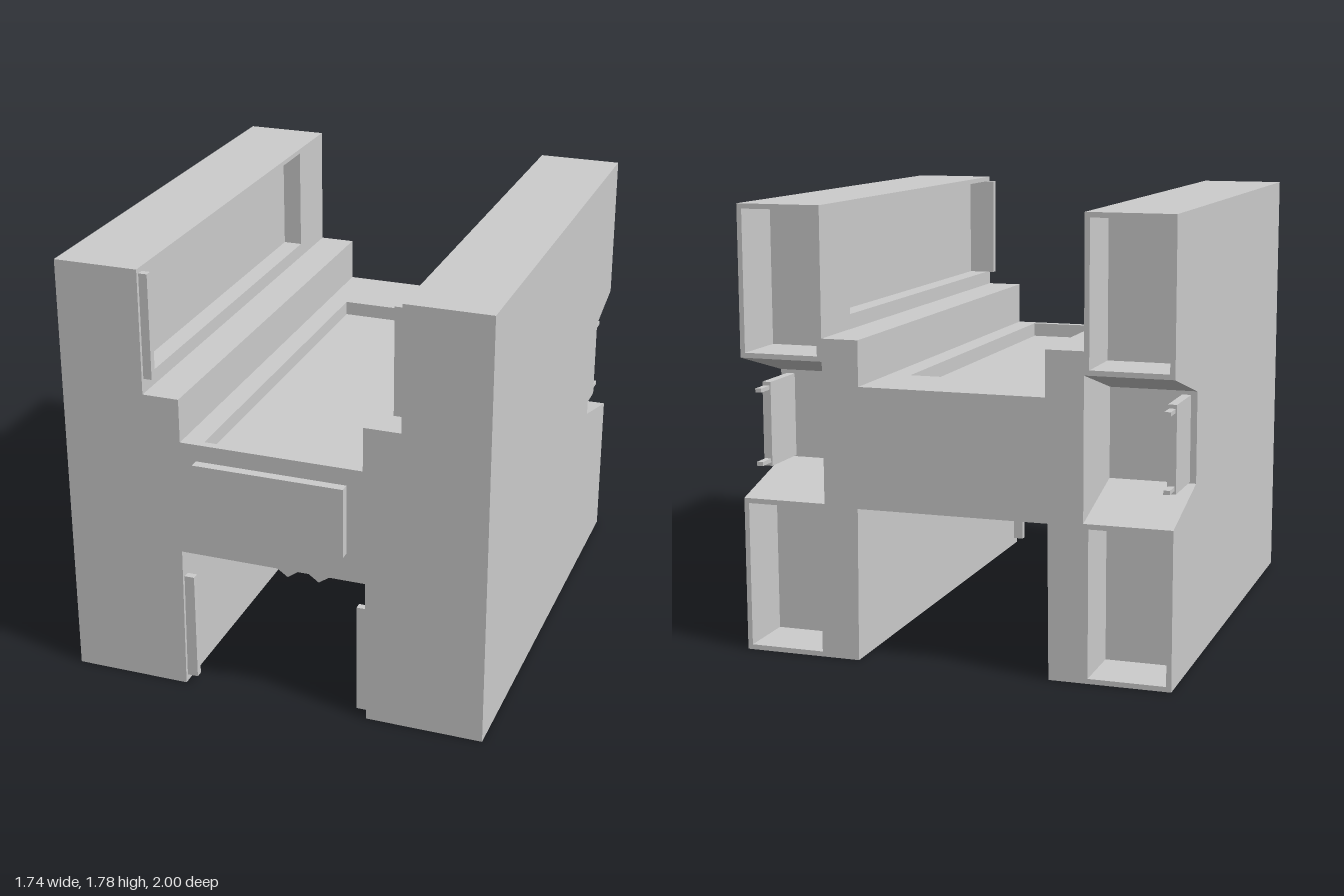
import * as THREE from 'three';

const BACK = -1, FRONT = 0.96, INNER = 0.525, OUTER = 0.87, TOP = 1.78;

const material = new THREE.MeshStandardMaterial({ color: 0xcccccc, flatShading: true });

function toPath(points, Type = THREE.Shape) {
  return new Type(points.map(([x, y]) => new THREE.Vector2(x, y)));
}

function rect(x0, y0, x1, y1) {
  return [[x0, y0], [x1, y0], [x1, y1], [x0, y1]];
}

function extrude(points, depth, hole) {
  const shape = toPath(points);
  if (hole) shape.holes.push(toPath([...hole].reverse(), THREE.Path));
  return new THREE.ExtrudeGeometry(shape, { depth, bevelEnabled: false });
}

export function createModel() {
  const model = new THREE.Group();
  model.name = 'housing';

  const add = (parent, name, geometry) => {
    const mesh = new THREE.Mesh(geometry, material);
    mesh.name = name;
    parent.add(mesh);
    return mesh;
  };
  // Box given by its two extreme corners
  const box = (parent, name, x0, x1, y0, y1, z0, z1) => {
    const mesh = add(parent, name, new THREE.BoxGeometry(Math.abs(x1 - x0), y1 - y0, z1 - z0));
    mesh.position.set((x0 + x1) / 2, (y0 + y1) / 2, (z0 + z1) / 2);
  };

  // Bridge with legs and stepped shoulders, up to the tray floor
  const trayFloor = 1.03, bridgeTop = 1.09;
  const half = [[0.385, 0.61], [0.39, 0], [INNER, 0], [INNER, 1.27], [0.375, 1.27], [0.375, trayFloor]];
  const mirrored = half.map(([x, y]) => [-x, y]).reverse();
  add(model, 'bridge', extrude([...half, ...mirrored], FRONT - BACK)).position.z = BACK;

  // Rim around the sunken tray on top of the bridge
  const rim = extrude(rect(-0.375, -FRONT, 0.375, -BACK), bridgeTop - trayFloor,
    rect(-0.287, -0.925, 0.287, 0.68));
  rim.rotateX(-Math.PI / 2);
  add(model, 'trayRim', rim).position.y = trayFloor;

  // Front plate and the two ridges below it
  box(model, 'frontPlate', -0.31, 0.31, 0.73, 1.02, FRONT - 0.01, 1);
  for (const x of [0.065, 0.195]) {
    const ridge = extrude([[x - 0.045, 0.612], [x, 0.58], [x + 0.045, 0.612]], 0.1);
    add(model, 'ridge', ridge).position.z = FRONT - 0.1;
  }

  // Side wall sections, drawn with the back to the right
  const notch = [[1, 0.62], [0.64, 0.72], [0.64, 1.08], [1, 1.18]];
  const skin = [[-FRONT, 0], [1, 0], ...notch, [1, TOP], [-FRONT, TOP]];
  const pocketed = [
    [-FRONT, 0], [1, 0], [1, 0.02], [0.75, 0.02], [0.75, 0.6], [1, 0.6], ...notch,
    [1, 1.2], [0.75, 1.2], [0.75, 1.76], [1, 1.76], [1, TOP], [-FRONT, TOP],
  ];
  const recess = rect(-0.915, 1.33, 0.72, 1.76);
  const layers = [
    ['innerSkin', INNER, 0.545, skin, recess],
    ['recessFrame', 0.545, 0.605, pocketed, recess],
    ['wallCore', 0.605, 0.85, pocketed, null],
    ['outerSkin', 0.85, OUTER, skin, null],
  ];

  for (const side of [1, -1]) {
    const wall = new THREE.Group();
    wall.name = side > 0 ? 'leftWall' : 'rightWall';
    model.add(wall);

    // Layers from the inside out: recess inside, open pockets and notch at the back
    for (const [name, x0, x1, outline, hole] of layers) {
      const geometry = extrude(outline, x1 - x0, hole);
      geometry.rotateY(Math.PI / 2);
      add(wall, name, geometry).position.x = side > 0 ? x0 : -x1;
    }

    // Stop strips near the front
    box(wall, 'upperStrip', side * 0.49, side * 0.53, 1.33, 1.76, 0.915, 0.945);
    box(wall, 'lowerStrip', side * 0.345, side * 0.395, 0.03, 0.49, 0.915, 0.945);

    // Connector plate with two pins in the rear notch
    box(wall, 'connectorPlate', side * 0.81, side * 0.845, 0.725, 1.065, -0.865, -0.64);
    for (const y of [0.747, 1.042]) {
      box(wall, 'connectorPin', side * 0.815, side * 0.84, y - 0.008, y + 0.008, -0.94, -0.86);
    }
  }

  return model;
}
